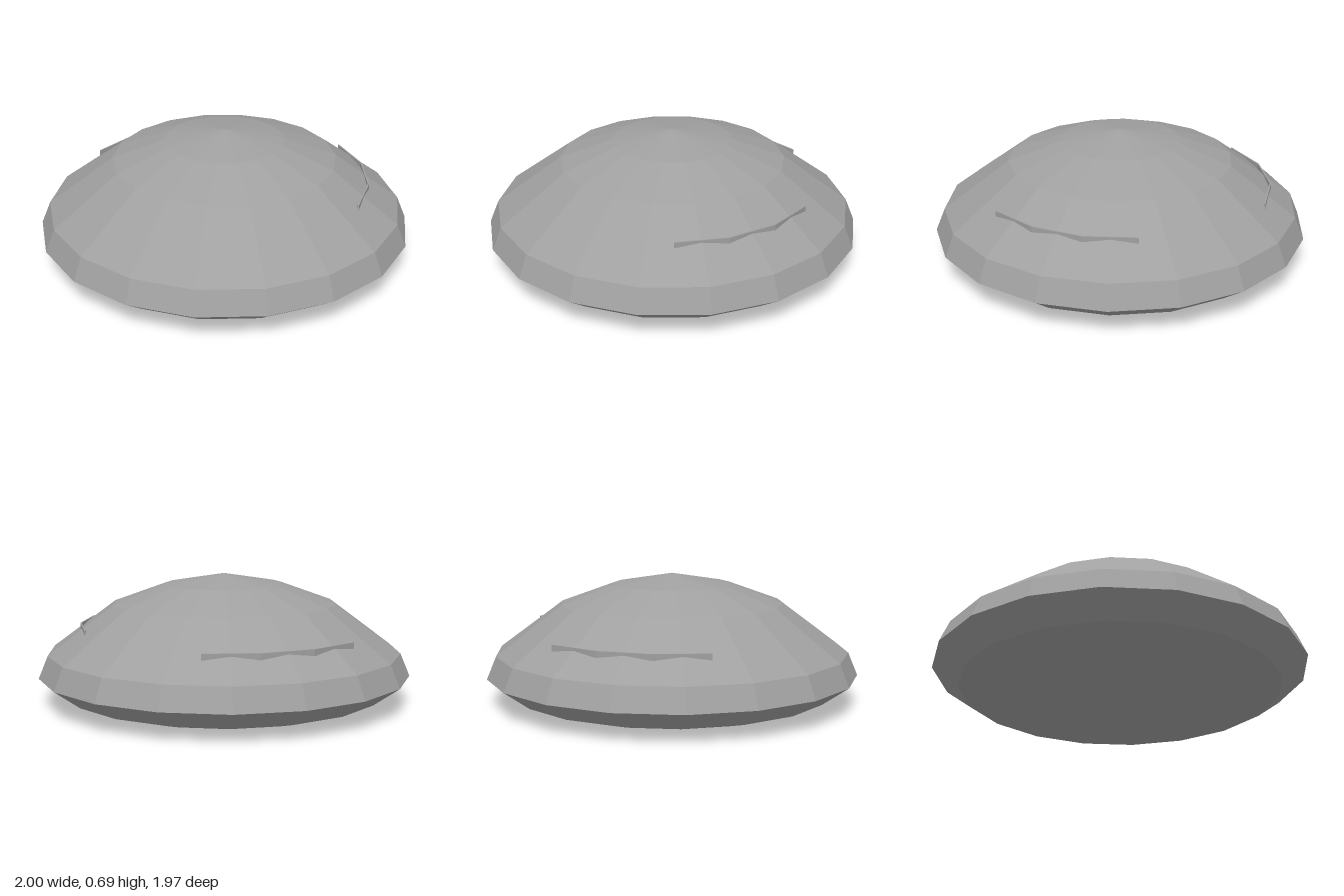
import * as THREE from 'three';

const stone = new THREE.MeshStandardMaterial({ color: 0xa0a0a0, flatShading: true });
stone.name = 'stone grey';
const ridgeStone = stone.clone(); // same grey, visible from both sides
ridgeStone.side = THREE.DoubleSide;

const rad = THREE.MathUtils.degToRad;
const points = (list) => list.map(([x, y]) => new THREE.Vector2(x, y));

// Thin upright arc of three facets standing out of the dome
function addRidge(group, name, radius, top, startDeg) {
  const t = 0.004;
  const profile = points([
    [radius - t, top - 0.07], [radius + t, top - 0.07],
    [radius + t, top], [radius - t, top], [radius - t, top - 0.07],
  ]);
  const mesh = new THREE.Mesh(new THREE.LatheGeometry(profile, 3, rad(startDeg), rad(60)), ridgeStone);
  mesh.name = name;
  group.add(mesh);
}

export function createModel() {
  const group = new THREE.Group();
  group.name = 'domedStone';

  // Eighteen-sided body: shallow bowl below, faceted dome above
  const profile = points([
    [0, 0], [0.72, 0.015], [0.86, 0.055], [1, 0.155],
    [0.95, 0.275], [0.6, 0.535], [0.32, 0.637], [0, 0.693],
  ]);
  const body = new THREE.Mesh(new THREE.LatheGeometry(profile, 18, Math.PI / 2), stone);
  body.name = 'body';
  group.add(body);

  // Raised ridges on the shoulder
  addRidge(group, 'leftRidge', 0.773, 0.425, 80);
  addRidge(group, 'backRidge', 0.81, 0.4, 200);

  return group;
}
